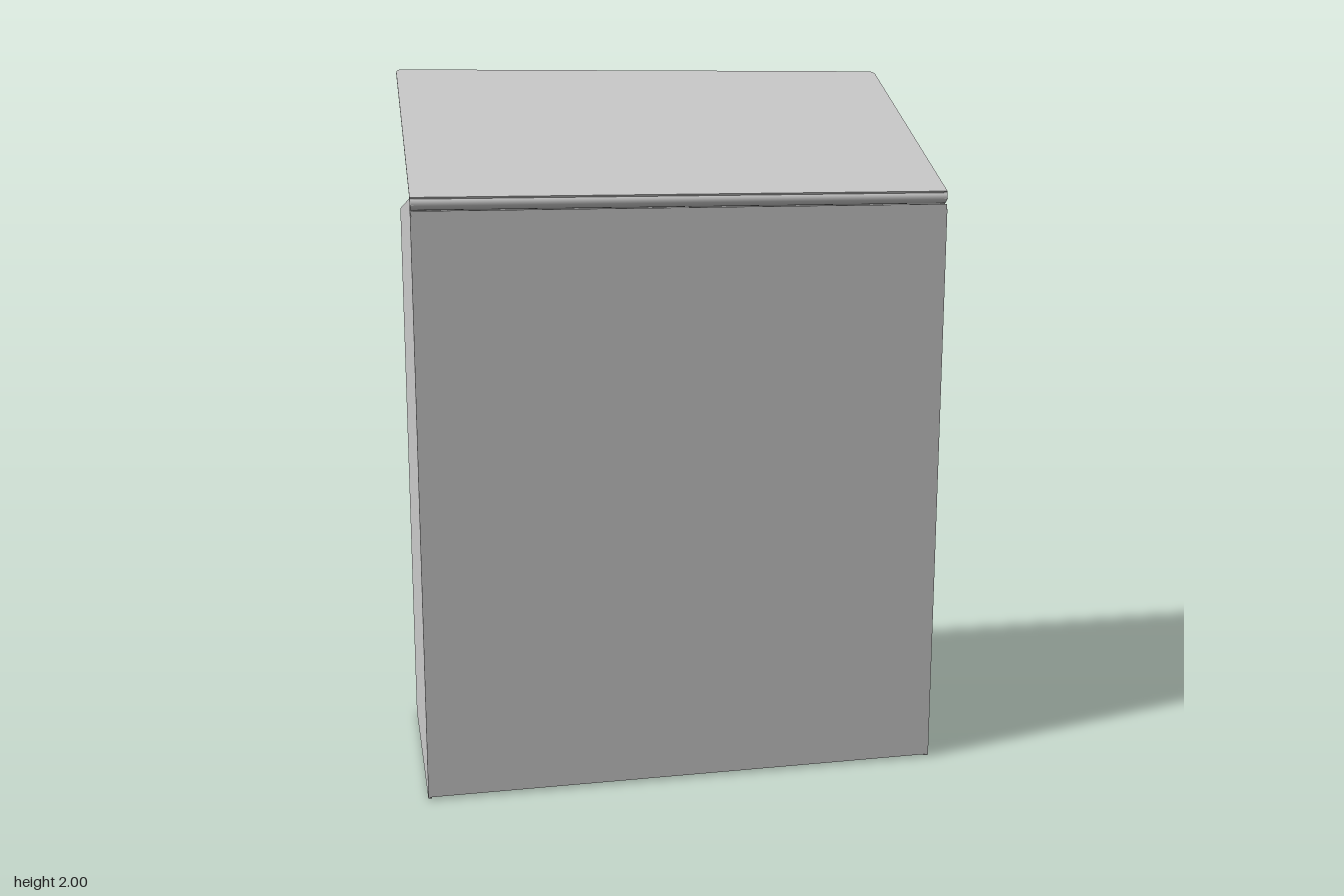
import * as THREE from 'three';

const W = 0.735, D = 0.33, T = 0.01;            // half width, half depth, sheet thickness
const FRONT = 1.665, BACK = 1.595;              // body height at front and back
const SLOPE = (FRONT - BACK) / (2 * D);
const topAt = z => (FRONT + BACK) / 2 + SLOPE * z;

export function createModel() {
  const group = new THREE.Group();
  const mat = new THREE.MeshStandardMaterial({ color: 0xcccccc, side: THREE.DoubleSide });

  const add = (name, geo, x = 0, y = 0, z = 0) => {
    const m = new THREE.Mesh(geo, mat);
    m.name = name;
    m.position.set(x, y, z);
    group.add(m);
    return m;
  };
  // box given by its limits
  const box = (name, x0, x1, y0, y1, z0, z1) =>
    add(name, new THREE.BoxGeometry(x1 - x0, y1 - y0, z1 - z0), (x0 + x1) / 2, (y0 + y1) / 2, (z0 + z1) / 2);
  // (z, y) shape extruded along x, centred on x
  const profile = (name, shape, width, x = 0) => {
    const g = new THREE.ExtrudeGeometry(shape, { depth: width, bevelEnabled: false, curveSegments: 8 });
    g.translate(0, 0, -width / 2).rotateY(-Math.PI / 2);
    return add(name, g, x);
  };
  const poly = pts => new THREE.Shape(pts.map(p => new THREE.Vector2(...p)));
  // round bar along x
  const bar = (name, r, length, y, z) =>
    add(name, new THREE.CylinderGeometry(r, r, length, 20).rotateZ(Math.PI / 2), 0, y, z);
  // flat plate drawn in (x, -z), lying in the xz plane
  const plate = (name, shape, t) =>
    add(name, new THREE.ExtrudeGeometry(shape, { depth: t, bevelEnabled: false, curveSegments: 8 }).rotateX(-Math.PI / 2));
  const rectPath = (x0, x1, z0, z1) => new THREE.Path(
    [[x0, -z0], [x1, -z0], [x1, -z1], [x0, -z1]].map(p => new THREE.Vector2(...p)));

  // side panels: sloped top, rounded lower corners, small notch on the back edge
  const side = new THREE.Shape();
  const r = 0.015;
  side.moveTo(-D + r, 0);
  side.lineTo(D - r, 0);
  side.quadraticCurveTo(D, 0, D, r);
  side.lineTo(D, 1.615);
  side.lineTo(D - 0.02, 1.63);
  side.lineTo(D, 1.645);
  side.lineTo(D - 0.005, FRONT - 0.002);
  side.lineTo(-D, BACK);
  side.lineTo(-D, 0.69);
  side.lineTo(-D + 0.008, 0.685);
  side.lineTo(-D, 0.68);
  side.lineTo(-D, r);
  side.quadraticCurveTo(-D, 0, -D + r, 0);
  for (const s of [-1, 1]) profile('sidePanel', side, T, s * (W - T / 2));

  // front and upper back panels
  box('frontPanel', -W + 0.002, W - 0.002, 0.008, 1.63, D - T, D);
  box('backPanel', -W + 0.002, W - 0.002, 0.685, BACK - 0.001, -D, -D + T);

  // sloped top with two square openings
  const bins = [[-0.62, -0.055], [0.055, 0.62]];
  const Z0 = -0.205, Z1 = 0.115;
  const top = poly([[-W + T, -D + T], [W - T, -D + T], [W - T, D - 0.002], [-W + T, D - 0.002]]);
  for (const [a, b] of bins) top.holes.push(rectPath(a, b, Z0, Z1));
  const topPlate = plate('topPlate', top, T);
  topPlate.position.y = topAt(0) - T;
  topPlate.rotation.x = -Math.atan(SLOPE);

  // storage bins under the openings
  const low = 0.09, wall = 0.004;
  const binSide = poly([[Z0, low], [Z1, low], [Z1, topAt(Z1) - T], [Z0, topAt(Z0) - T]]);
  for (const [a, b] of bins) {
    profile('binSide', binSide, wall, a - wall / 2);
    profile('binSide', binSide, wall, b + wall / 2);
    box('binBack', a, b, low, topAt(Z0) - T, Z0 - wall, Z0);
    box('binFront', a, b, low, topAt(Z1) - T, Z1, Z1 + wall);
    box('binFloor', a, b, low, low + wall, Z0, Z1);
    // screw heads near the rim
    for (const x of [a, b])
      add('binScrew', new THREE.CylinderGeometry(0.012, 0.012, 0.004, 16).rotateZ(Math.PI / 2), x, 1.54, -0.01);
  }

  // recessed lower back panel that runs out into a sloped tray
  profile('recessedPanel', poly([
    [-0.3, 0.625], [-0.3, 0.615], [-0.21, 0.605], [-0.21, 0.085], [-0.285, 0.022],
    [-0.28, 0.012], [-0.2, 0.078], [-0.2, 0.615]]), 2 * (W - T));
  bar('recessRail', 0.022, 2 * (W - T), 0.635, -0.3);
  bar('trayLip', 0.009, 2 * (W - T), 0.018, -0.287);

  // bottom plate with a long rounded slot near the front
  const base = poly([[-W + T, -D + T], [W - T, -D + T], [W - T, 0.265], [-W + T, 0.265]]);
  const slot = new THREE.Path();
  slot.absarc(0.635, -0.265, 0.02, -Math.PI / 2, Math.PI / 2, false);
  slot.absarc(-0.635, -0.265, 0.02, Math.PI / 2, Math.PI * 1.5, false);
  base.holes.push(slot);
  plate('bottomPlate', base, T).position.y = 0.004;

  // hinge rod along the top front edge
  bar('lidHinge', 0.017, 2 * W - 0.004, 1.648, D - 0.017);

  // raised lid with rounded free corners
  const L = Math.hypot(0.645, 0.335), c = 0.02;
  const lidShape = new THREE.Shape();
  lidShape.moveTo(-W, 0);
  lidShape.lineTo(W, 0);
  lidShape.lineTo(W, L - c);
  lidShape.quadraticCurveTo(W, L, W - c, L);
  lidShape.lineTo(-W + c, L);
  lidShape.quadraticCurveTo(-W, L, -W, L - c);
  const lid = plate('lid', lidShape, 0.006);
  lid.position.set(0, 1.66, D - 0.006);
  lid.rotation.x = Math.atan2(0.335, 0.645);

  return group;
}
